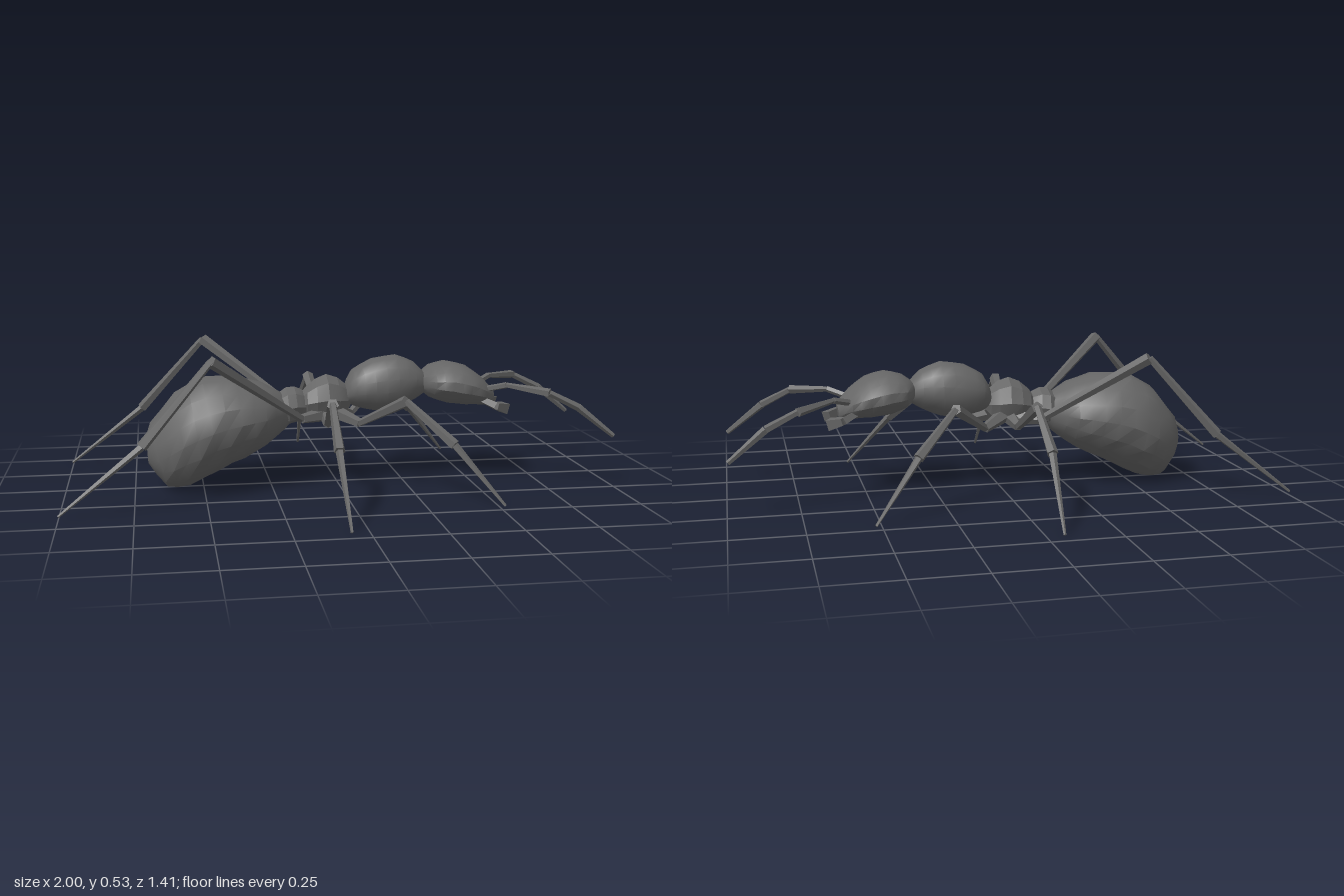
import * as THREE from 'three';
import { mergeVertices, toCreasedNormals } from 'three/addons/utils/BufferGeometryUtils.js';

const smooth = new THREE.MeshStandardMaterial({ color: 0x666666 });
const faceted = new THREE.MeshStandardMaterial({ color: 0x666666, flatShading: true });

// Body shell through sections [topX, topY, bottomX, bottomY, halfWidth], ordered rear to front
function shell(name, sections, { rings = 12, sides = 14, ripple = 0.025, crease = 0.6 } = {}) {
  const at = (t, k) => {
    const f = t * (sections.length - 1), i = Math.min(Math.floor(f), sections.length - 2), u = f - i;
    const p = (j) => sections[Math.max(0, Math.min(sections.length - 1, j))][k];
    const a = p(i - 1), b = p(i), c = p(i + 1), d = p(i + 2);
    return b + 0.5 * u * (c - a + u * (2 * a - 5 * b + 4 * c - d + u * (3 * (b - c) + d - a)));
  };
  const pos = [], index = [];
  for (let r = 0; r <= rings; r++) {
    const [tx, ty, bx, by, w] = [0, 1, 2, 3, 4].map((k) => at(r / rings, k));
    for (let s = 0; s < sides; s++) {
      const a = (s / sides) * Math.PI * 2;
      // shallow dents, mirrored left to right
      const m = 1 + ripple * Math.cos(r * 2.1 + 3 * Math.cos(a)) * Math.sin(1 + 4 * Math.cos(a) + r);
      const c = Math.cos(a) * m * 0.5;
      pos.push((tx + bx) / 2 + (tx - bx) * c, (ty + by) / 2 + (ty - by) * c, Math.sin(a) * m * w);
    }
  }
  for (let r = 0; r < rings; r++) {
    for (let s = 0; s < sides; s++) {
      const a = r * sides + s, b = r * sides + ((s + 1) % sides);
      index.push(a, a + sides, b, b, a + sides, b + sides);
    }
  }
  // end caps
  for (const r of [0, rings]) {
    const [tx, ty, bx, by] = [0, 1, 2, 3].map((k) => at(r / rings, k));
    const centre = pos.length / 3;
    pos.push((tx + bx) / 2, (ty + by) / 2, 0);
    for (let s = 0; s < sides; s++) {
      const a = r * sides + s, b = r * sides + ((s + 1) % sides);
      index.push(centre, ...(r ? [b, a] : [a, b]));
    }
  }
  // turn the faces outward
  for (let i = 0; i < index.length; i += 3) [index[i + 1], index[i + 2]] = [index[i + 2], index[i + 1]];
  const geo = new THREE.BufferGeometry();
  geo.setAttribute('position', new THREE.Float32BufferAttribute(pos, 3));
  geo.setIndex(orient(pos, index));
  const mesh = new THREE.Mesh(toCreasedNormals(mergeVertices(geo), crease), smooth);
  mesh.name = name;
  return mesh;
}

// Reverses the winding if the enclosed volume is negative
function orient(pos, index) {
  const v = (i) => new THREE.Vector3().fromArray(pos, i * 3);
  let volume = 0;
  for (let i = 0; i < index.length; i += 3) {
    volume += v(index[i]).dot(v(index[i + 1]).cross(v(index[i + 2])));
  }
  return volume < 0 ? index.slice().reverse() : index;
}

// Tapered rods along a jointed path; radii holds [start, end] for each segment
function limb(name, points, radii, side, sides = 5) {
  const group = new THREE.Group();
  group.name = name;
  const pts = points.map(([x, y, z]) => new THREE.Vector3(x, y, z * side));
  radii.forEach(([r0, r1], i) => {
    const dir = pts[i + 1].clone().sub(pts[i]);
    const geo = new THREE.CylinderGeometry(r1, r0, dir.length(), sides);
    const mesh = new THREE.Mesh(geo, faceted);
    mesh.name = 'segment' + (i + 1);
    mesh.position.copy(pts[i]).addScaledVector(dir, 0.5);
    mesh.quaternion.setFromUnitVectors(new THREE.Vector3(0, 1, 0), dir.normalize());
    group.add(mesh);
  });
  return group;
}

export function createModel() {
  const ant = new THREE.Group();
  ant.name = 'ant';

  // Body, rear to front
  ant.add(shell('abdomen', [
    [-0.705, 0.19, -0.70, 0.10, 0.05],
    [-0.69, 0.25, -0.63, 0.01, 0.12],
    [-0.60, 0.36, -0.55, 0.02, 0.18],
    [-0.50, 0.41, -0.44, 0.07, 0.2],
    [-0.38, 0.42, -0.35, 0.11, 0.195],
    [-0.28, 0.39, -0.27, 0.16, 0.155],
    [-0.21, 0.35, -0.20, 0.21, 0.08],
    [-0.16, 0.32, -0.16, 0.25, 0.035],
  ], { rings: 14, sides: 16, ripple: 0.04, crease: 0.5 }));
  ant.add(shell('waist', [
    [-0.23, 0.33, -0.22, 0.25, 0.04],
    [-0.20, 0.365, -0.19, 0.23, 0.08],
    [-0.15, 0.37, -0.14, 0.24, 0.07],
    [-0.11, 0.34, -0.10, 0.25, 0.04],
  ], { rings: 5, sides: 8, ripple: 0, crease: 0.3 }));
  ant.add(shell('midBody', [
    [-0.14, 0.34, -0.13, 0.27, 0.04],
    [-0.10, 0.385, -0.10, 0.25, 0.075],
    [-0.04, 0.415, -0.03, 0.24, 0.08],
    [0.02, 0.39, 0.02, 0.25, 0.06],
    [0.05, 0.35, 0.05, 0.29, 0.03],
  ], { rings: 6, sides: 8, ripple: 0, crease: 0.3 }));
  ant.add(shell('thorax', [
    [0.03, 0.37, 0.03, 0.31, 0.035],
    [0.06, 0.43, 0.07, 0.29, 0.08],
    [0.13, 0.47, 0.14, 0.275, 0.1],
    [0.22, 0.48, 0.22, 0.28, 0.1],
    [0.29, 0.455, 0.29, 0.31, 0.08],
    [0.335, 0.41, 0.335, 0.34, 0.045],
  ], { rings: 10, ripple: 0.035 }));
  ant.add(shell('head', [
    [0.32, 0.41, 0.32, 0.35, 0.06],
    [0.36, 0.44, 0.35, 0.32, 0.13],
    [0.42, 0.455, 0.41, 0.30, 0.15],
    [0.49, 0.435, 0.48, 0.29, 0.145],
    [0.55, 0.395, 0.55, 0.285, 0.11],
    [0.60, 0.345, 0.59, 0.28, 0.045],
  ], { rings: 10, ripple: 0.035 }));

  // Leg paths: hip, trochanter, knee, ankle, foot
  const legs = {
    hind: [[-0.04, 0.27, 0.03], [-0.14, 0.265, 0.09], [-0.48, 0.515, 0.31], [-0.72, 0.24, 0.37], [-1, 0.02, 0.4]],
    middle: [[-0.04, 0.27, 0.03], [-0.05, 0.25, 0.12], [-0.065, 0.36, 0.33], [-0.07, 0.235, 0.51], [-0.06, 0.01, 0.7]],
    front: [[-0.02, 0.28, 0.03], [0.07, 0.245, 0.1], [0.21, 0.35, 0.26], [0.36, 0.21, 0.37], [0.52, 0.01, 0.465]],
  };
  const legRadii = [[0.03, 0.018], [0.014, 0.022], [0.013, 0.02], [0.014, 0.005]];

  for (const [label, side] of [['left', -1], ['right', 1]]) {
    for (const [key, path] of Object.entries(legs)) {
      ant.add(limb(`${label} ${key} leg`, path, legRadii, side));
    }
    // Elbowed feelers
    ant.add(limb(`${label} antenna`,
      [[0.54, 0.35, 0.06], [0.62, 0.375, 0.12], [0.75, 0.36, 0.23], [0.86, 0.305, 0.235], [0.99, 0.2, 0.255]],
      [[0.012, 0.012], [0.01, 0.017], [0.012, 0.015], [0.015, 0.009]], side));
    // Jaws, flaring toward the tip
    ant.add(limb(`${label} jaw`, [[0.53, 0.32, 0.08], [0.585, 0.295, 0.105], [0.63, 0.28, 0.07]],
      [[0.014, 0.018], [0.018, 0.028]], side, 4));
  }
  return ant;
}
